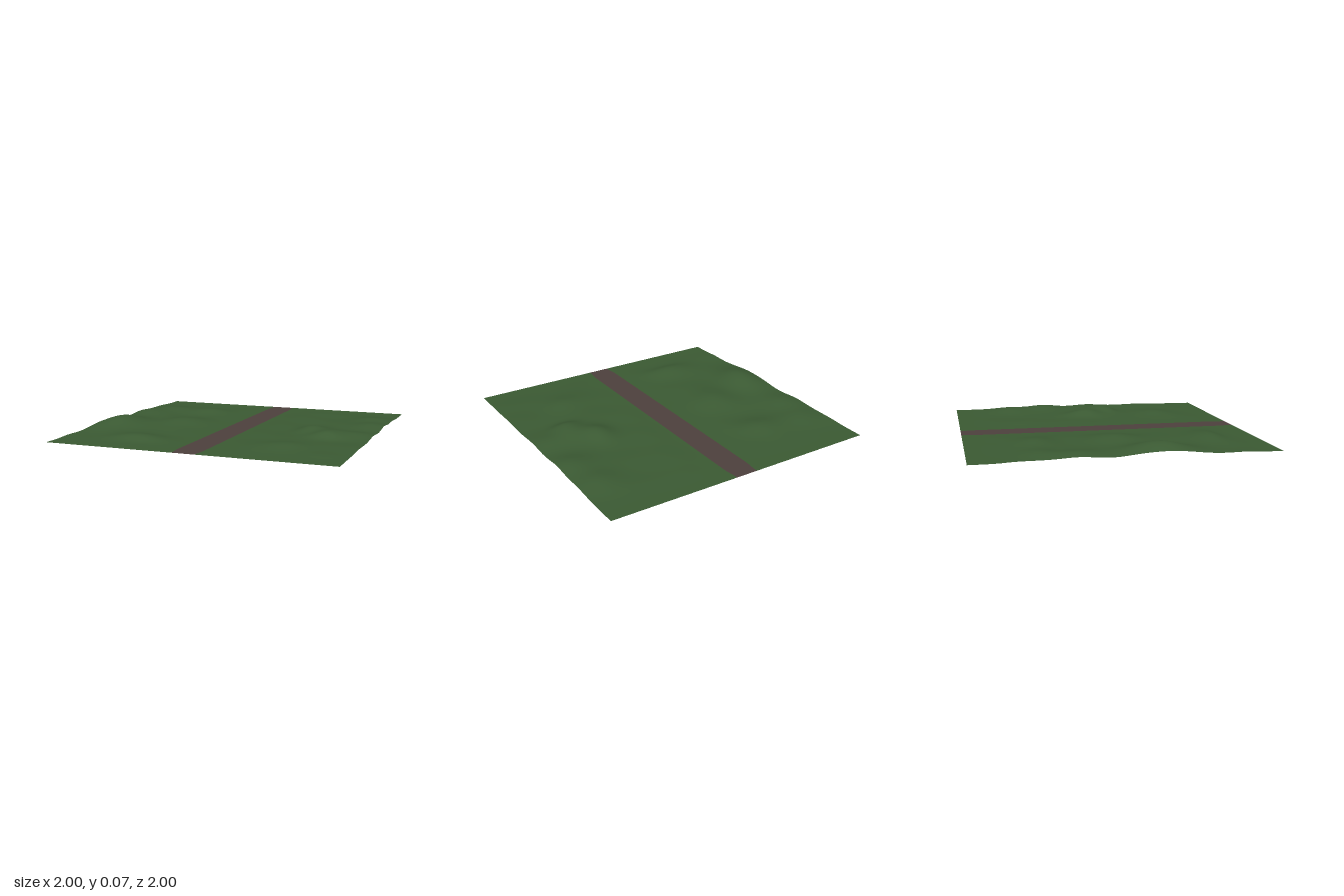
import * as THREE from 'three';

// Hills: x, z, height, half-width in x, half-width to the back, half-width to the front
const HILLS = [
  [-0.86, 0.24, 0.064, 0.11, 0.17, 0.13],
  [-0.48, 0.03, 0.036, 0.12, 0.14, 0.12],
  [-0.90, -0.33, 0.026, 0.09, 0.14, 0.12],
  [-0.46, -0.53, 0.029, 0.11, 0.10, 0.09],
  [-0.82, -0.55, 0.016, 0.10, 0.10, 0.08],
  [-0.48, 0.68, 0.027, 0.14, 0.09, 0.07],
  [0.70, 0.19, 0.045, 0.08, 0.13, 0.05],
  [0.54, 0.01, 0.038, 0.07, 0.11, 0.08],
  [0.91, -0.30, 0.028, 0.10, 0.12, 0.10],
  [0.55, 0.56, 0.022, 0.11, 0.09, 0.08],
  [0.85, -0.56, 0.022, 0.10, 0.09, 0.08],
  [0.88, 0.06, 0.020, 0.10, 0.10, 0.09],
];

const fade = (v, from, to) => THREE.MathUtils.smoothstep(v, from, to);

// Ground height: hills plus slight ripples, level beside the road and at the front and back edges
function groundHeight(x, z) {
  let y = 0.004 + 0.002 * Math.sin(13 * x + 4 * z) + 0.002 * Math.sin(17 * z - 7 * x);
  for (const [hx, hz, h, rx, back, front] of HILLS) {
    const dx = (x - hx) / rx;
    const dz = (z - hz) / (z < hz ? back : front);
    y += h * Math.exp(-0.5 * (dx * dx + dz * dz));
  }
  return y * fade(Math.abs(x), 0.1, 0.35) * (1 - fade(Math.abs(z), 0.7, 0.9));
}

// The road narrows a touch at its ends
const roadHalfWidth = (z) => 0.09 - 0.01 * fade(Math.abs(z), 0.88, 0.98);

// A sheet between two side edges, given as functions of z
function sheet(name, material, leftEdge, rightEdge, columns) {
  const geometry = new THREE.PlaneGeometry(2, 2, columns, 64).rotateX(-Math.PI / 2);
  const p = geometry.attributes.position;
  for (let i = 0; i < p.count; i++) {
    const z = p.getZ(i);
    const x = THREE.MathUtils.lerp(leftEdge(z), rightEdge(z), (p.getX(i) + 1) / 2);
    p.setXYZ(i, x, groundHeight(x, z), z);
  }
  geometry.computeVertexNormals();
  const mesh = new THREE.Mesh(geometry, material);
  mesh.name = name;
  return mesh;
}

export function createModel() {
  const grass = new THREE.MeshStandardMaterial({ color: 0x3b5a33, side: THREE.DoubleSide });
  grass.name = 'grass green';
  const dirt = new THREE.MeshStandardMaterial({ color: 0x4e413d, side: THREE.DoubleSide });
  dirt.name = 'dirt brown';

  const model = new THREE.Group();
  model.name = 'terrainWithRoad';
  model.add(
    sheet('rightField', grass, () => -1, (z) => -roadHalfWidth(z), 30),
    sheet('road', dirt, (z) => -roadHalfWidth(z), roadHalfWidth, 4),
    sheet('leftField', grass, roadHalfWidth, () => 1, 30),
  );
  return model;
}
